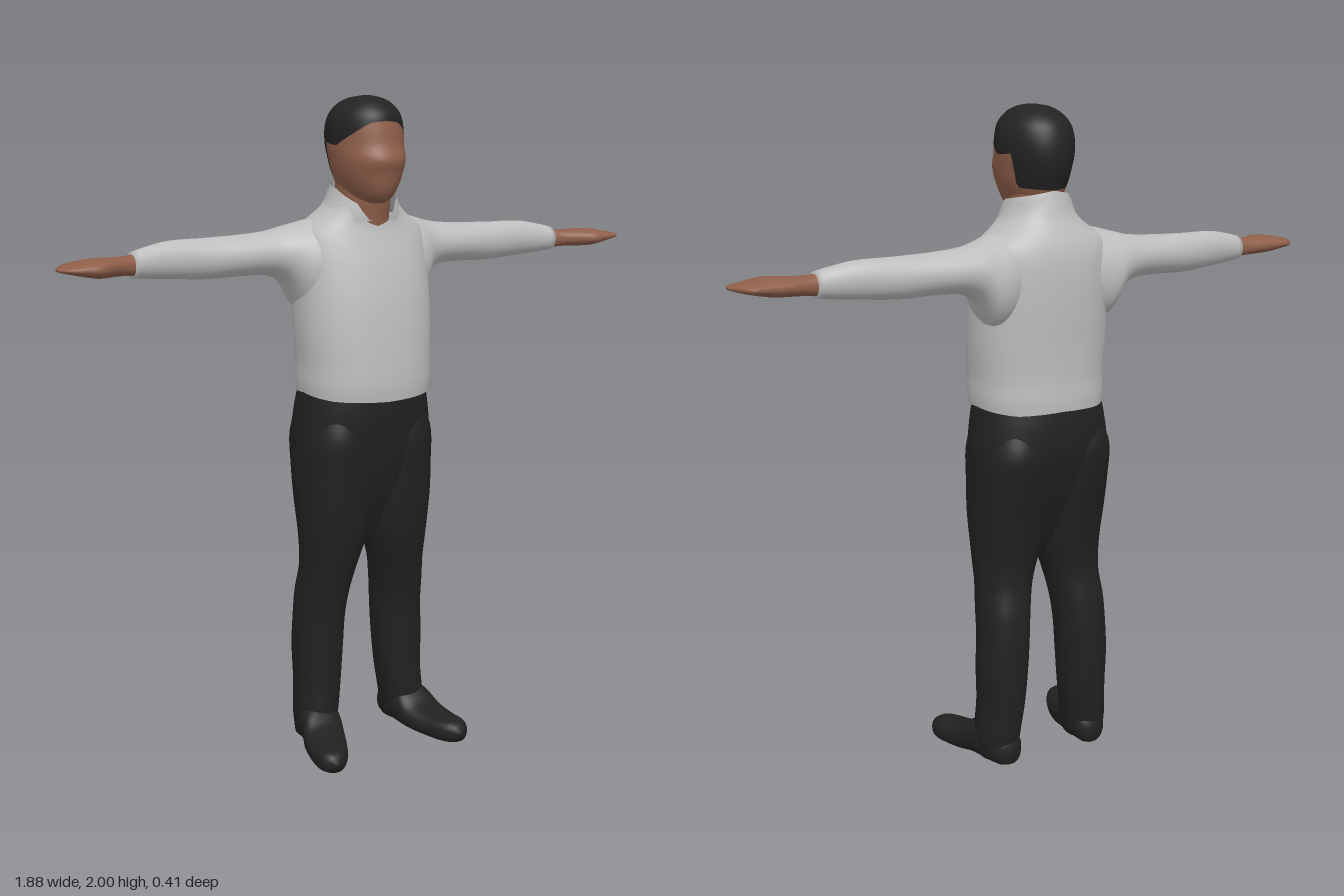
import * as THREE from 'three';

const mat = (name, color, side = THREE.FrontSide) => {
  const m = new THREE.MeshStandardMaterial({ color, side });
  m.name = name;
  return m;
};

// Smooth interpolation through rows [t, uMin, uMax, vMin, vMax]
function sample(rows, t) {
  let i = 0;
  while (i < rows.length - 2 && t > rows[i + 1][0]) i++;
  const a = rows[i], b = rows[i + 1], h = b[0] - a[0];
  const s = THREE.MathUtils.clamp((t - a[0]) / h, 0, 1);
  const slope = (j, k) => {
    const p = rows[Math.max(j - 1, 0)], q = rows[Math.min(j + 1, rows.length - 1)];
    return (q[k] - p[k]) / (q[0] - p[0]);
  };
  return [1, 2, 3, 4].map((k) => {
    const s2 = s * s, s3 = s2 * s;
    return (2 * s3 - 3 * s2 + 1) * a[k] + (s3 - 2 * s2 + s) * h * slope(i, k)
      + (3 * s2 - 2 * s3) * b[k] + (s3 - s2) * h * slope(i + 1, k);
  });
}

// Piecewise linear lookup
function linear(points, x) {
  let i = 0;
  while (i < points.length - 2 && x > points[i + 1][0]) i++;
  const [x0, y0] = points[i], [x1, y1] = points[i + 1];
  return y0 + (y1 - y0) * THREE.MathUtils.clamp((x - x0) / (x1 - x0), 0, 1);
}

// Superellipse loft along an axis. lo and hi may trim its ends by angle.
// Axis x: u = z, v = y. Axis y: u = x, v = z. Axis z: u = y, v = x.
function loft(axis, rows, { lo, hi, n = 32, seg = 48, p = 2, capLo = !lo, capHi = !hi, flip = false } = {}) {
  const pos = [], idx = [];
  const t0 = rows[0][0], t1 = rows[rows.length - 1][0];
  const put = (u, v, t) => {
    const q = axis === 'x' ? [t, v, u] : axis === 'y' ? [u, t, v] : [v, u, t];
    pos.push(flip ? -q[0] : q[0], q[1], q[2]);
  };
  const tri = (a, b, c) => (flip ? idx.push(a, c, b) : idx.push(a, b, c));
  const pw = (x) => Math.sign(x) * Math.pow(Math.abs(x), 2 / p);
  for (let j = 0; j <= n; j++) {
    for (let i = 0; i < seg; i++) {
      const a = (i / seg) * Math.PI * 2;
      const from = lo ? lo(a) : t0, to = hi ? hi(a) : t1;
      const t = from + (to - from) * (j / n);
      const [u0, u1, v0, v1] = sample(rows, t);
      put((u0 + u1) / 2 + pw(Math.sin(a)) * (u1 - u0) / 2, (v0 + v1) / 2 + pw(Math.cos(a)) * (v1 - v0) / 2, t);
    }
  }
  for (let j = 0; j < n; j++) {
    for (let i = 0; i < seg; i++) {
      const k = (i + 1) % seg, a = j * seg + i, b = j * seg + k;
      tri(a, b, b + seg);
      tri(a, b + seg, a + seg);
    }
  }
  const cap = (row, base, top) => {
    const c = pos.length / 3;
    put((row[1] + row[2]) / 2, (row[3] + row[4]) / 2, row[0]);
    for (let i = 0; i < seg; i++) {
      const a = base + i, b = base + (i + 1) % seg;
      top ? tri(a, b, c) : tri(b, a, c);
    }
  };
  if (capLo) cap(rows[0], 0, false);
  if (capHi) cap(rows[rows.length - 1], n * seg, true);
  const g = new THREE.BufferGeometry();
  g.setAttribute('position', new THREE.Float32BufferAttribute(pos, 3));
  g.setIndex(idx);
  g.computeVertexNormals();
  return g;
}

export function createModel() {
  const root = new THREE.Group();
  root.name = 'standingMan';
  const shirt = mat('shirtGrey', 0xbebdbe, THREE.DoubleSide);
  const cloth = mat('trouserBlack', 0x212122);
  const hairMat = mat('hairBlack', 0x232324);
  const skin = mat('skinBrown', 0x8f5f4a);
  const add = (name, geometry, material) => {
    const m = new THREE.Mesh(geometry, material);
    m.name = name;
    root.add(m);
  };
  // Angle away from the front, 0 to 180 degrees
  const deg = (a) => THREE.MathUtils.radToDeg(Math.acos(Math.cos(a)));

  // Head, split along the hairline into face and hair
  const head = [
    [1.695, -0.04, 0.04, -0.08, 0.07], [1.71, -0.06, 0.06, -0.11, 0.095], [1.74, -0.078, 0.078, -0.125, 0.112],
    [1.78, -0.095, 0.095, -0.14, 0.122], [1.82, -0.103, 0.103, -0.155, 0.133], [1.86, -0.108, 0.108, -0.162, 0.115],
    [1.91, -0.109, 0.109, -0.157, 0.106], [1.95, -0.098, 0.098, -0.14, 0.095], [1.98, -0.071, 0.071, -0.105, 0.066],
    [1.994, -0.043, 0.043, -0.068, 0.035], [2.0, -0.012, 0.012, -0.025, 0.003],
  ];
  const hairline = (a) => linear([[0, 1.93], [25, 1.925], [50, 1.895], [80, 1.86], [110, 1.867], [118, 1.77], [180, 1.763]], deg(a));
  add('face', loft('y', head, { hi: hairline, seg: 80 }), skin);
  add('hair', loft('y', head, { lo: hairline, seg: 80, capHi: true }), hairMat);
  add('neck', loft('y', [
    [1.58, -0.08, 0.08, -0.13, 0.045], [1.65, -0.077, 0.077, -0.13, 0.052],
    [1.7, -0.078, 0.078, -0.125, 0.06], [1.78, -0.078, 0.078, -0.125, 0.06],
  ]), skin);

  // Shirt body with a V neck opening
  const neckline = (a) => linear([[0, 1.628], [12, 1.645], [40, 1.69], [80, 1.72], [180, 1.75]], deg(a));
  const hem = (a) => linear([[0, 1.118], [50, 1.125], [90, 1.138], [140, 1.125], [180, 1.13]], deg(a));
  add('shirtBody', loft('y', [
    [1.1, -0.198, 0.198, -0.198, 0.13], [1.16, -0.206, 0.206, -0.2, 0.135], [1.22, -0.206, 0.206, -0.197, 0.133],
    [1.32, -0.212, 0.212, -0.199, 0.125], [1.42, -0.213, 0.213, -0.203, 0.112], [1.52, -0.213, 0.213, -0.203, 0.09],
    [1.58, -0.21, 0.21, -0.197, 0.072], [1.62, -0.192, 0.192, -0.186, 0.06], [1.65, -0.152, 0.152, -0.172, 0.057],
    [1.68, -0.116, 0.116, -0.157, 0.06], [1.71, -0.1, 0.1, -0.146, 0.06], [1.76, -0.088, 0.088, -0.135, 0.055],
  ], { lo: hem, hi: neckline, p: 2.3, n: 48, seg: 64 }), shirt);

  // Folded collar with two front points
  const collarTop = (a) => linear([[0, 1.645], [14, 1.645], [35, 1.695], [80, 1.735], [180, 1.763]], deg(a));
  const collarLow = (a) => linear([[0, 1.645], [14, 1.645], [34, 1.64], [48, 1.66], [90, 1.69], [180, 1.71]], deg(a));
  add('collar', loft('y', [
    [1.63, -0.128, 0.128, -0.17, 0.07], [1.67, -0.12, 0.12, -0.163, 0.07],
    [1.71, -0.103, 0.103, -0.15, 0.066], [1.77, -0.084, 0.084, -0.132, 0.058],
  ], { lo: collarLow, hi: collarTop, n: 8, seg: 72 }), shirt);

  // Hips, tucked in between the legs
  add('hips', loft('y', [
    [0.66, -0.03, 0.03, -0.07, 0.01], [0.74, -0.08, 0.08, -0.115, 0.045], [0.84, -0.16, 0.16, -0.155, 0.08],
    [0.92, -0.212, 0.212, -0.18, 0.096], [1.0, -0.22, 0.22, -0.2, 0.106], [1.08, -0.21, 0.21, -0.2, 0.112],
    [1.15, -0.197, 0.197, -0.19, 0.11],
  ], { p: 2.3 }), cloth);

  for (const [side, flip] of [['left', false], ['right', true]]) {
    // Sleeve, widening into the shoulder and armpit
    add(side + 'Sleeve', loft('x', [
      [0.1, -0.17, 0.03, 1.4, 1.655], [0.17, -0.187, 0.04, 1.37, 1.645], [0.205, -0.187, 0.025, 1.39, 1.636],
      [0.235, -0.182, 0.0, 1.452, 1.628], [0.28, -0.174, -0.015, 1.483, 1.617], [0.36, -0.162, -0.022, 1.49, 1.61],
      [0.48, -0.145, -0.036, 1.488, 1.606], [0.6, -0.127, -0.044, 1.497, 1.604], [0.67, -0.114, -0.042, 1.503, 1.592],
      [0.715, -0.107, -0.036, 1.508, 1.581],
    ], { n: 40, flip }), shirt);
    // Flat hand with closed fingers
    add(side + 'Hand', loft('x', [
      [0.69, -0.103, -0.042, 1.512, 1.577], [0.74, -0.102, -0.03, 1.517, 1.571], [0.78, -0.108, -0.008, 1.518, 1.571],
      [0.83, -0.11, 0.024, 1.519, 1.572], [0.87, -0.11, 0.022, 1.526, 1.568], [0.905, -0.106, 0.014, 1.534, 1.561],
      [0.93, -0.07, 0.004, 1.54, 1.557], [0.942, -0.045, -0.015, 1.544, 1.552],
    ], { p: 2.3, flip }), skin);
    // Trouser leg
    add(side + 'Leg', loft('y', [
      [0.03, 0.1, 0.215, -0.135, 0.0], [0.1, 0.09, 0.222, -0.143, 0.015], [0.2, 0.077, 0.217, -0.152, 0.012],
      [0.32, 0.066, 0.22, -0.157, 0.012], [0.42, 0.06, 0.215, -0.157, 0.016], [0.5, 0.052, 0.212, -0.15, 0.03],
      [0.58, 0.036, 0.205, -0.135, 0.048], [0.64, 0.018, 0.207, -0.135, 0.062], [0.7, 0.0, 0.211, -0.143, 0.074],
      [0.8, -0.01, 0.219, -0.161, 0.086], [0.9, -0.01, 0.22, -0.182, 0.094], [1.0, 0.0, 0.216, -0.196, 0.1],
      [1.08, 0.03, 0.19, -0.17, 0.08],
    ], { n: 48, p: 2.2, flip }), cloth);
    // Shoe, toes turned outward
    add(side + 'Shoe', loft('z', [
      [-0.145, 0.02, 0.08, 0.125, 0.175], [-0.125, 0.01, 0.11, 0.105, 0.2], [-0.05, 0.008, 0.14, 0.098, 0.225],
      [0.0, 0.007, 0.132, 0.1, 0.235], [0.04, 0.005, 0.096, 0.11, 0.25], [0.1, 0.002, 0.078, 0.133, 0.262],
      [0.15, 0.0, 0.075, 0.157, 0.266], [0.18, 0.004, 0.07, 0.176, 0.258], [0.198, 0.012, 0.058, 0.195, 0.243],
      [0.205, 0.025, 0.045, 0.21, 0.23],
    ], { p: 2.4, flip }), cloth);
  }
  return root;
}
